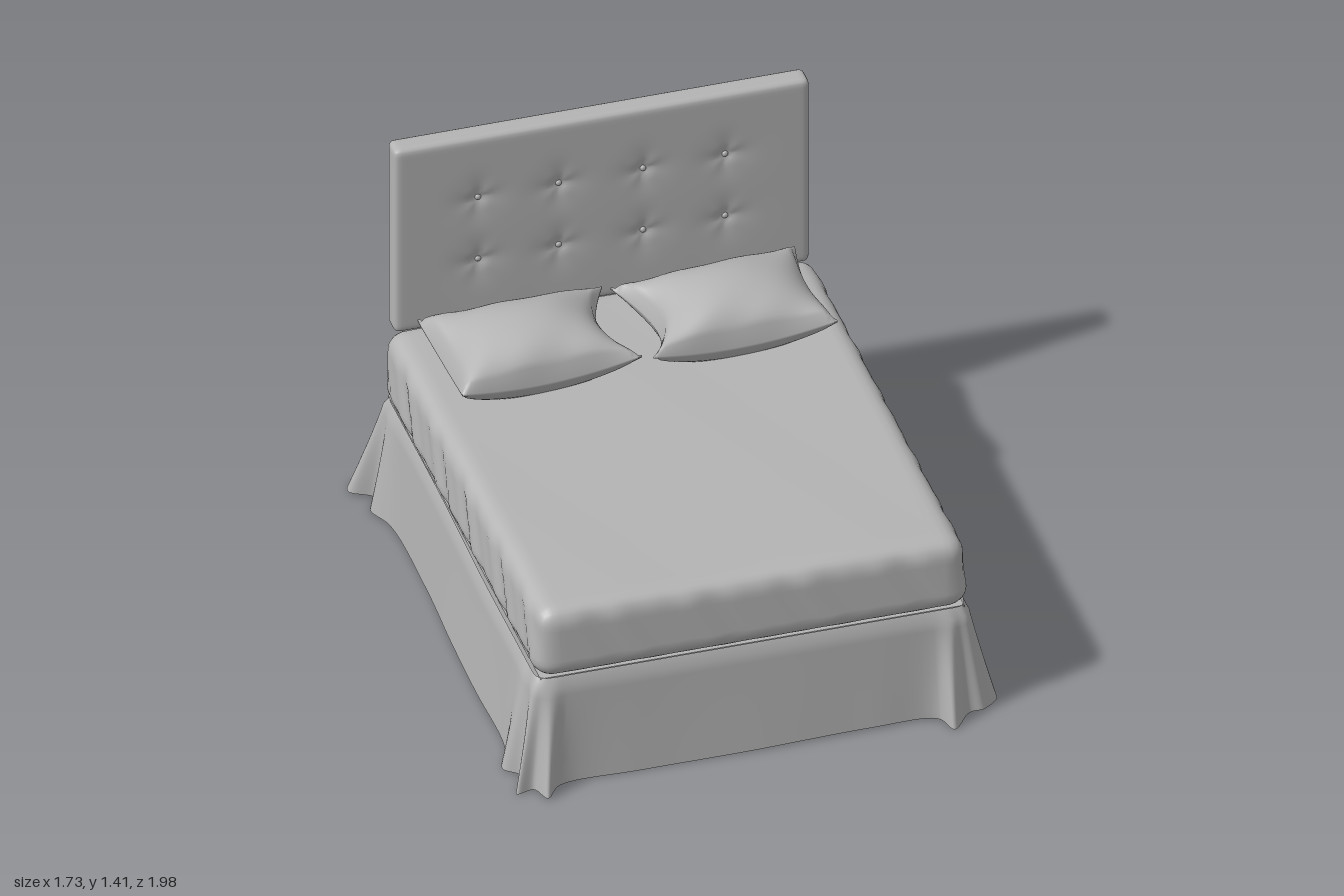
import * as THREE from 'three';
import { mergeVertices } from 'three/addons/utils/BufferGeometryUtils.js';

const grey = new THREE.MeshStandardMaterial({ color: 0xb4b4b4 });
grey.name = 'greyFabric';
const greySheet = new THREE.MeshStandardMaterial({ color: 0xb4b4b4, side: THREE.DoubleSide });
greySheet.name = 'greySkirtCloth';

function addMesh(group, name, geometry, x = 0, y = 0, z = 0, material = grey) {
  const mesh = new THREE.Mesh(geometry, material);
  mesh.name = name;
  mesh.position.set(x, y, z);
  group.add(mesh);
  return mesh;
}

// Moves every vertex by a rule, then welds and smooths the surface
function reshape(geometry, rule) {
  geometry.deleteAttribute('uv');
  geometry.deleteAttribute('normal');
  const pos = geometry.attributes.position;
  const p = new THREE.Vector3();
  for (let i = 0; i < pos.count; i++) {
    p.fromBufferAttribute(pos, i);
    rule(p);
    pos.setXYZ(i, p.x, p.y, p.z);
  }
  const welded = mergeVertices(geometry, 1e-5);
  welded.computeVertexNormals();
  return welded;
}

// Finely divided box with rounded edges and an extra surface rule
function softBox(w, h, d, segs, r, rule) {
  const half = new THREE.Vector3(w / 2 - r, h / 2 - r, d / 2 - r);
  const low = half.clone().negate();
  const inner = new THREE.Vector3();
  return reshape(new THREE.BoxGeometry(w, h, d, ...segs), (p) => {
    inner.copy(p).clamp(low, half);
    const n = p.clone().sub(inner).normalize();
    p.copy(inner).addScaledVector(n, r);
    rule(p, n);
  });
}

// Mattress with a loosely tucked sheet
function mattressGeometry() {
  return softBox(1.49, 0.275, 1.77, [60, 14, 72], 0.06, (p, n) => {
    const side = 1 - Math.abs(n.y);
    const low = 0.5 - p.y / 0.275;
    const x = p.x, z = p.z;
    const slant = z + x + p.y * 0.6;
    const folds = Math.sin(slant * 38) * Math.sin(slant * 9 + 1) * 0.006;
    p.x += n.x * side * (folds + 0.014 * low);
    p.z += n.z * side * (folds + 0.012 * low);
    if (n.y > 0) p.y += n.y * 0.004 * Math.sin(x * 5 + z * 4) * Math.sin(z * 7 - x * 2);
  });
}

// Headboard padding, pulled in at each button
const buttons = [];
for (const x of [-0.435, -0.153, 0.142, 0.428]) for (const y of [0.92, 1.17]) buttons.push([x, y]);

function headboardGeometry(cx, cy) {
  return softBox(1.45, 0.74, 0.085, [110, 56, 6], 0.02, (p, n) => {
    if (n.z < 0.9) return;
    for (const [bx, by] of buttons) {
      const dx = p.x + cx - bx, dy = p.y + cy - by;
      const d2 = dx * dx + dy * dy;
      const pleat = 1 + 0.35 * Math.cos(4 * Math.atan2(dy, dx));
      p.z -= 0.011 * Math.exp(-d2 / 0.0006) + 0.007 * pleat * Math.exp(-d2 / 0.006);
    }
  });
}

// Pillow over four corners [x, z]: back left, back right, front right, front left of the picture plane
function pillowGeometry([a, b, c, d], bowLeft, bowRight, phase) {
  const mix = THREE.MathUtils.lerp;
  return reshape(new THREE.BoxGeometry(2, 2, 2, 36, 2, 30), (p) => {
    const u = p.x, v = p.z, s = (u + 1) / 2, t = (v + 1) / 2;
    const puff = Math.pow(Math.max(0, (1 - u * u) * (1 - v * v)), 0.45);
    const bow = (1 - v * v) * (s * s * -bowRight + (1 - s) * (1 - s) * bowLeft);
    const pinch = 0.02 * (1 - u * u) * v;
    const seam = 0.735 + 0.045 * u * u * v * v;
    const wrinkle = 0.006 * Math.sin(u * 9 + v * 4 + phase) * (1 - puff) * Math.min(1, puff * 3);
    const edge = p.y * 0.004;
    let y = seam + edge;
    if (p.y > 0.5) y += 0.155 * puff + wrinkle;
    if (p.y < -0.5) y = Math.max(0.685, y - 0.09 * puff);
    p.set(
      mix(mix(a[0], b[0], s), mix(d[0], c[0], s), t) + bow,
      y,
      mix(mix(a[1], d[1], t), mix(b[1], c[1], t), s) - pinch,
    );
  });
}

// Skirt corners from side to end: [hem x, hem z, top x, top z]
const frontRight = [
  [0.78, 0.3, 0.755, 0.3], [0.785, 0.66, 0.755, 0.68], [0.815, 0.755, 0.755, 0.77], [0.79, 0.8, 0.755, 0.81],
  [0.855, 0.85, 0.75, 0.86], [0.79, 0.915, 0.735, 0.885], [0.74, 0.915, 0.71, 0.89], [0.665, 0.99, 0.68, 0.89],
  [0.63, 0.92, 0.62, 0.89], [0.4, 0.91, 0.4, 0.89],
];
const frontLeft = [
  [0.8, 0.3, 0.77, 0.3], [0.805, 0.66, 0.77, 0.68], [0.85, 0.78, 0.77, 0.78], [0.8, 0.83, 0.77, 0.82],
  [0.845, 0.925, 0.765, 0.865], [0.785, 0.92, 0.745, 0.885], [0.755, 0.99, 0.71, 0.89], [0.69, 0.92, 0.65, 0.89],
  [0.4, 0.91, 0.4, 0.89],
];
const back = [
  [0.785, 0.3, 0.76, 0.3], [0.79, 0.7, 0.76, 0.7], [0.825, 0.81, 0.76, 0.79], [0.79, 0.87, 0.76, 0.83],
  [0.865, 0.92, 0.755, 0.865], [0.855, 0.965, 0.74, 0.88], [0.8, 0.992, 0.72, 0.885], [0.765, 0.93, 0.7, 0.885],
  [0.7, 0.905, 0.66, 0.885], [0.5, 0.905, 0.5, 0.885],
];

function skirtGeometry() {
  const turn = (list, sx, sz) => list.map(([x, z, X, Z]) => [x * sx, z * sz, X * sx, Z * sz]);
  const outline = [
    ...turn(frontRight, 1, 1), [0, 0.915, 0, 0.89], ...turn(frontLeft, -1, 1).reverse(), [-0.795, 0, -0.765, 0],
    ...turn(back, -1, -1), [0, -0.92, 0, -0.885], [0.32, -0.95, 0.32, -0.885],
    ...turn(back, 1, -1).reverse(), [0.78, 0, 0.757, 0],
  ];
  const loop = (k) => new THREE.CatmullRomCurve3(outline.map((o) => new THREE.Vector3(o[k], 0, o[k + 1])), true);
  const hem = loop(0), top = loop(2);
  const count = outline.length * 7, rows = 12, points = [], index = [];
  for (let r = 0; r <= rows; r++) {
    const s = r / rows;
    for (let i = 0; i < count; i++) {
      const t = i / count;
      const p = top.getPoint(t).lerp(hem.getPoint(t), Math.pow(s, 1.1));
      const inset = r === 0 ? 0.985 : 1;
      const lift = 0.004 * Math.sin(t * Math.PI * 22) * s;
      points.push(p.x * inset, 0.42 - 0.41 * s + lift, p.z * inset);
      if (r === rows) continue;
      const a = r * count + i, b = r * count + (i + 1) % count;
      index.push(a, b, a + count, b, b + count, a + count);
    }
  }
  const geometry = new THREE.BufferGeometry();
  geometry.setAttribute('position', new THREE.Float32BufferAttribute(points, 3));
  geometry.setIndex(index);
  geometry.computeVertexNormals();
  return geometry;
}

// Flat metal strut with two adjustment slots
function strutGeometry() {
  const rect = (shape, x, y, w, h) => {
    shape.moveTo(x, y).lineTo(x + w, y).lineTo(x + w, y + h).lineTo(x, y + h).closePath();
    return shape;
  };
  const plate = rect(new THREE.Shape(), -0.046, 0.02, 0.092, 1.035);
  plate.holes.push(rect(new THREE.Path(), -0.028, 0.06, 0.015, 0.3), rect(new THREE.Path(), 0.012, 0.06, 0.015, 0.3));
  return new THREE.ExtrudeGeometry(plate, { depth: 0.01, bevelEnabled: false });
}

export function createModel() {
  const bed = new THREE.Group();
  bed.name = 'bed';

  addMesh(bed, 'mattress', mattressGeometry(), -0.01, 0.556, 0.01);
  addMesh(bed, 'baseDeck', new THREE.BoxGeometry(1.48, 0.04, 1.74), -0.005, 0.398, 0);
  addMesh(bed, 'bedSkirt', skirtGeometry(), 0, 0, 0, greySheet);

  // Headboard with buttons
  addMesh(bed, 'headboard', headboardGeometry(-0.005, 1.05), -0.005, 1.05, -0.883);
  const buttonShape = new THREE.SphereGeometry(0.011, 12, 8);
  for (const [x, y] of buttons) addMesh(bed, 'headboardButton', buttonShape, x, y, -0.856).scale.z = 0.7;

  // Pillows
  addMesh(bed, 'rightPillow', pillowGeometry(
    [[-0.675, -0.76], [-0.03, -0.765], [-0.02, -0.34], [-0.66, -0.295]], 0.02, 0.075, 0));
  addMesh(bed, 'leftPillow', pillowGeometry(
    [[-0.005, -0.75], [0.655, -0.8], [0.665, -0.345], [0.015, -0.32]], 0.085, 0.02, 2));

  // Rear struts and their bolts
  const strut = strutGeometry();
  const bolt = new THREE.CylinderGeometry(0.009, 0.009, 0.008, 10).rotateX(Math.PI / 2);
  for (const x of [-0.63, 0.63]) {
    addMesh(bed, 'headboardStrut', strut, x, 0, -0.936);
    for (const y of [0.86, 1.0]) addMesh(bed, 'strutBolt', bolt, x, y, -0.938);
  }
  return bed;
}
